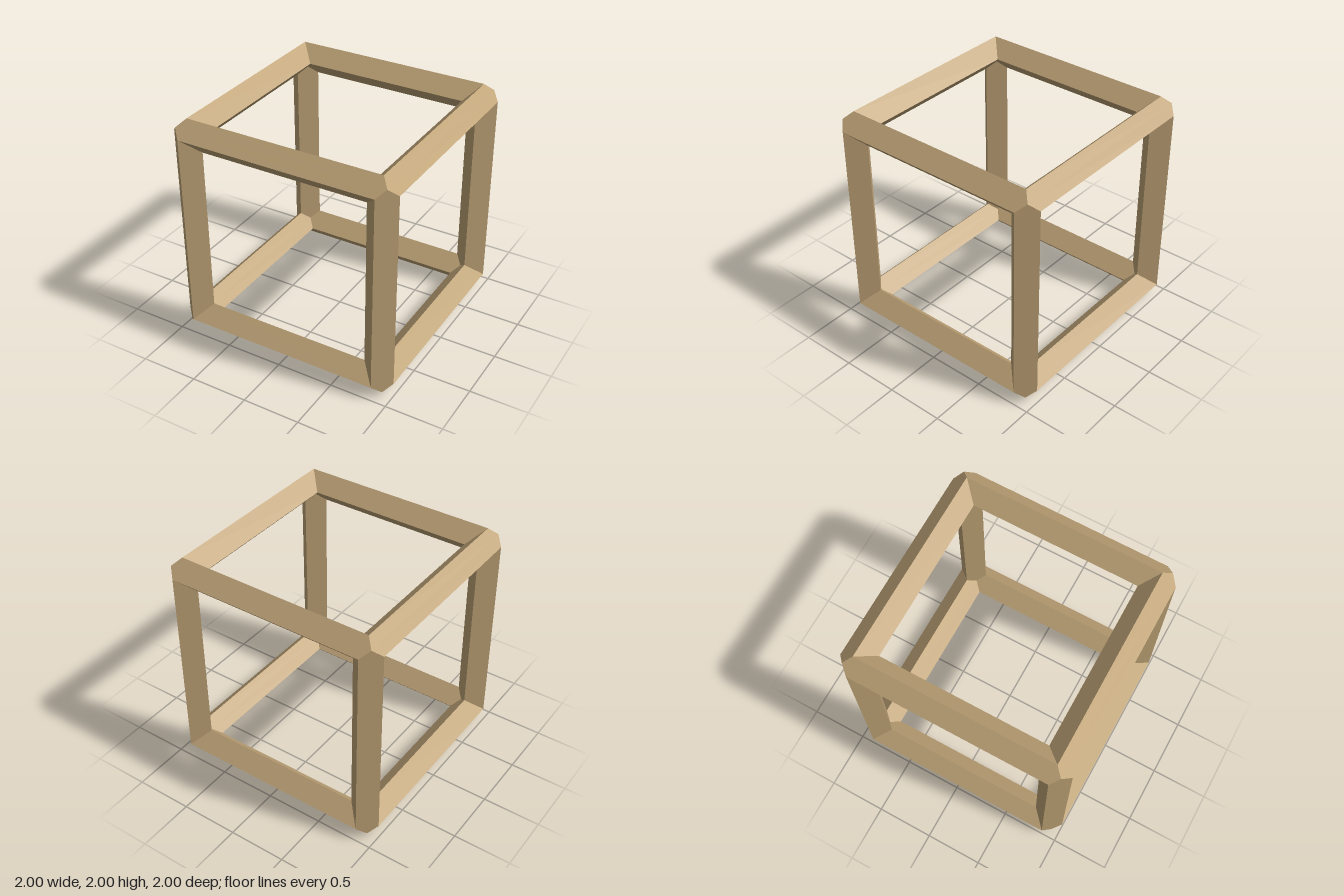
import * as THREE from 'three';

// Diamond section of a bar: corner offsets from the cube's centre [y, z],
// with the mid points of the outer and inner faces where three bars meet.
const OUT = 1, MID = 0.867, IN = 0.734;
const SECTION = [
  [OUT, MID], [(OUT + MID) / 2, (OUT + MID) / 2], [MID, OUT],
  [IN, MID], [(IN + MID) / 2, (IN + MID) / 2], [MID, IN],
];

// One bar along x, its ends mitred to fit the two neighbouring bars
function barGeometry() {
  const positions = [];
  const point = (i, side) => {
    const [y, z] = SECTION[i % SECTION.length];
    return [side * Math.min(y, z), y, z];
  };
  for (let i = 0; i < SECTION.length; i++) {
    const a = point(i, -1), b = point(i + 1, -1), c = point(i + 1, 1), d = point(i, 1);
    positions.push(...a, ...b, ...c, ...a, ...c, ...d);
  }
  const geometry = new THREE.BufferGeometry();
  geometry.setAttribute('position', new THREE.Float32BufferAttribute(positions, 3));
  geometry.computeVertexNormals();
  return geometry;
}

export function createModel() {
  const model = new THREE.Group();
  model.name = 'cubeFrame';
  const material = new THREE.MeshStandardMaterial({ color: 0xbfa377 });
  const geometry = barGeometry();
  const diagonal = new THREE.Vector3(1, 1, 1).normalize();

  // Four parallel bars for each axis; turning about the diagonal swaps axes
  ['widthBars', 'heightBars', 'depthBars'].forEach((name, axis) => {
    const bars = new THREE.Group();
    bars.name = name;
    bars.position.y = 1;
    bars.quaternion.setFromAxisAngle(diagonal, axis * Math.PI * 2 / 3);
    for (let k = 0; k < 4; k++) {
      const bar = new THREE.Mesh(geometry, material);
      bar.name = 'bar';
      bar.rotation.x = k * Math.PI / 2;
      bars.add(bar);
    }
    model.add(bars);
  });
  return model;
}
